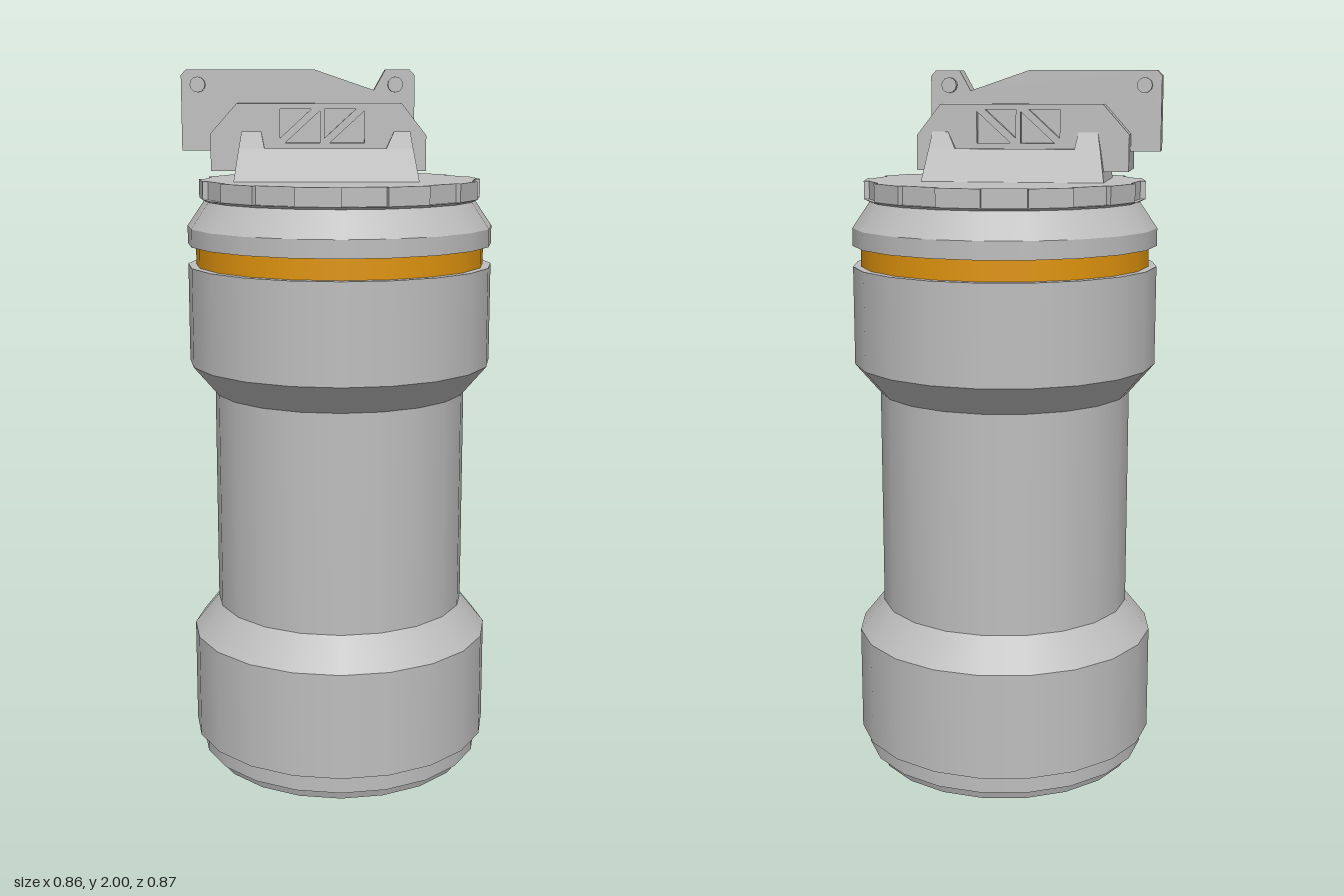
import * as THREE from 'three';
import { mergeGeometries } from 'three/addons/utils/BufferGeometryUtils.js';

const grey = new THREE.MeshStandardMaterial({ color: 0xbebebe });
grey.name = 'metal grey';
const amber = new THREE.MeshStandardMaterial({ color: 0xe0940e });
amber.name = 'amber';

const SIDES = 20;
const ROUND = 0.985; // the canister is very slightly narrower across x
const MID_Z = 0.0175; // centre line of the latch

// Turned surface: each profile step is its own band, so edges stay sharp.
function turned(profile) {
  const bands = [];
  for (let i = 0; i + 1 < profile.length; i++) {
    const pair = [profile[i], profile[i + 1]].map(([r, y]) => new THREE.Vector2(r, y));
    bands.push(new THREE.LatheGeometry(pair, SIDES));
  }
  return mergeGeometries(bands).scale(ROUND, 1, 1);
}

const toShape = (pts) => new THREE.Shape(pts.map(([x, y]) => new THREE.Vector2(x, y)));

// Side profile (x, y) extruded from z0 to z1, with optional holes.
function slab(pts, z0, z1, holes = []) {
  const shape = toShape(pts);
  shape.holes = holes.map(toShape);
  const geo = new THREE.ExtrudeGeometry(shape, { depth: z1 - z0, bevelEnabled: false });
  return geo.translate(0, 0, z0);
}

// Tapered block between two rectangles [x0, x1, z0, z1] at heights y0 and y1.
function taper(low, high, y0, y1) {
  const geo = new THREE.BoxGeometry(1, 1, 1).toNonIndexed();
  const p = geo.attributes.position;
  for (let i = 0; i < p.count; i++) {
    const up = p.getY(i) > 0;
    const r = up ? high : low;
    p.setXYZ(i, r[p.getX(i) > 0 ? 1 : 0], up ? y1 : y0, r[p.getZ(i) > 0 ? 3 : 2]);
  }
  geo.computeVertexNormals();
  return geo;
}

export function createModel() {
  const model = new THREE.Group();
  const add = (name, geo, mat = grey, parent = model) => {
    const mesh = new THREE.Mesh(geo, mat);
    mesh.name = name;
    parent.add(mesh);
    return mesh;
  };

  // Canister
  add('bottomPlate', turned([[0, 0.008], [0.31, 0.008], [0.31, 0], [0.33, 0], [0.33, 0.012], [0.385, 0.012]]));
  add('lowerBody', turned([
    [0.385, 0.012], [0.395, 0.042], [0.413, 0.042], [0.413, 0.095], [0.435, 0.095], [0.435, 0.397], [0.363, 0.485],
  ]));
  add('waist', turned([[0.363, 0.485], [0.363, 1.107]]));
  add('upperBody', turned([[0.363, 1.107], [0.435, 1.19], [0.435, 1.466], [0.412, 1.466]]));
  add('amberBand', turned([[0.412, 1.466], [0.412, 1.524]]), amber);
  add('shoulder', turned([[0.412, 1.524], [0.435, 1.524], [0.435, 1.573], [0.385, 1.645], [0.4, 1.652], [0, 1.652]]));

  // Cap with every second side of the rim cut back
  const rim = [];
  for (let i = 0; i < SIDES; i++) {
    const r = i % 2 ? 0.385 : 0.4;
    for (const k of [i, i + 1]) {
      const a = (k / SIDES) * Math.PI * 2 - Math.PI / 10 + Math.PI / 10;
      rim.push([r * Math.sin(a) * ROUND, r * Math.cos(a)]);
    }
  }
  const cap = slab(rim.reverse(), 0, 0.05);
  add('notchedCap', cap.rotateX(-Math.PI / 2).translate(0, 1.652, 0));

  // Latch base: low tapered block with a raised ear at each end
  const latch = new THREE.Group();
  latch.name = 'latch';
  model.add(latch);
  add('latchBase', taper([-0.289, 0.215, -0.12, 0.155], [-0.275, 0.198, -0.09, 0.127], 1.7, 1.79), grey, latch);
  add('rearEar', taper([-0.275, -0.205, -0.09, 0.127], [-0.267, -0.214, -0.076, 0.116], 1.79, 1.835), grey, latch);
  add('frontEar', taper([0.125, 0.198, -0.09, 0.127], [0.146, 0.19, -0.076, 0.116], 1.79, 1.835), grey, latch);

  // Latch housing: solid core between two side plates with braced windows
  const outline = [
    [-0.352, 1.73], [0.234, 1.73], [0.234, 1.825], [0.167, 1.91], [-0.28, 1.91], [-0.352, 1.83],
  ];
  const windows = [];
  for (const x of [-0.163, -0.042]) {
    windows.push(
      [[x, 1.895], [x + 0.085, 1.895], [x, 1.818]],
      [[x + 0.108, 1.89], [x + 0.108, 1.805], [x + 0.014, 1.805]],
    );
  }
  const half = 0.0925;
  const inset = 0.018;
  add('housingCore', slab(outline, MID_Z - half + inset, MID_Z + half - inset), grey, latch);
  add('leftSidePlate', slab(outline, MID_Z + half - inset, MID_Z + half, windows), grey, latch);
  add('rightSidePlate', slab(outline, MID_Z - half, MID_Z - half + inset, windows), grey, latch);

  // Lever running along the top of the housing, with two cross pins
  add('lever', slab([
    [-0.434, 1.783], [-0.34, 1.783], [0.1, 1.8], [0.204, 1.84], [0.204, 1.985], [0.19, 2],
    [0.124, 2], [0.093, 1.945], [-0.07, 2], [-0.42, 2], [-0.434, 1.985],
  ], MID_Z - 0.034, MID_Z + 0.034), grey, latch);
  for (const x of [-0.388, 0.151]) {
    const pin = new THREE.CylinderGeometry(0.021, 0.021, 0.102, 12).rotateX(Math.PI / 2);
    add('pin', pin.translate(x, 1.96, MID_Z), grey, latch);
  }
  return model;
}
